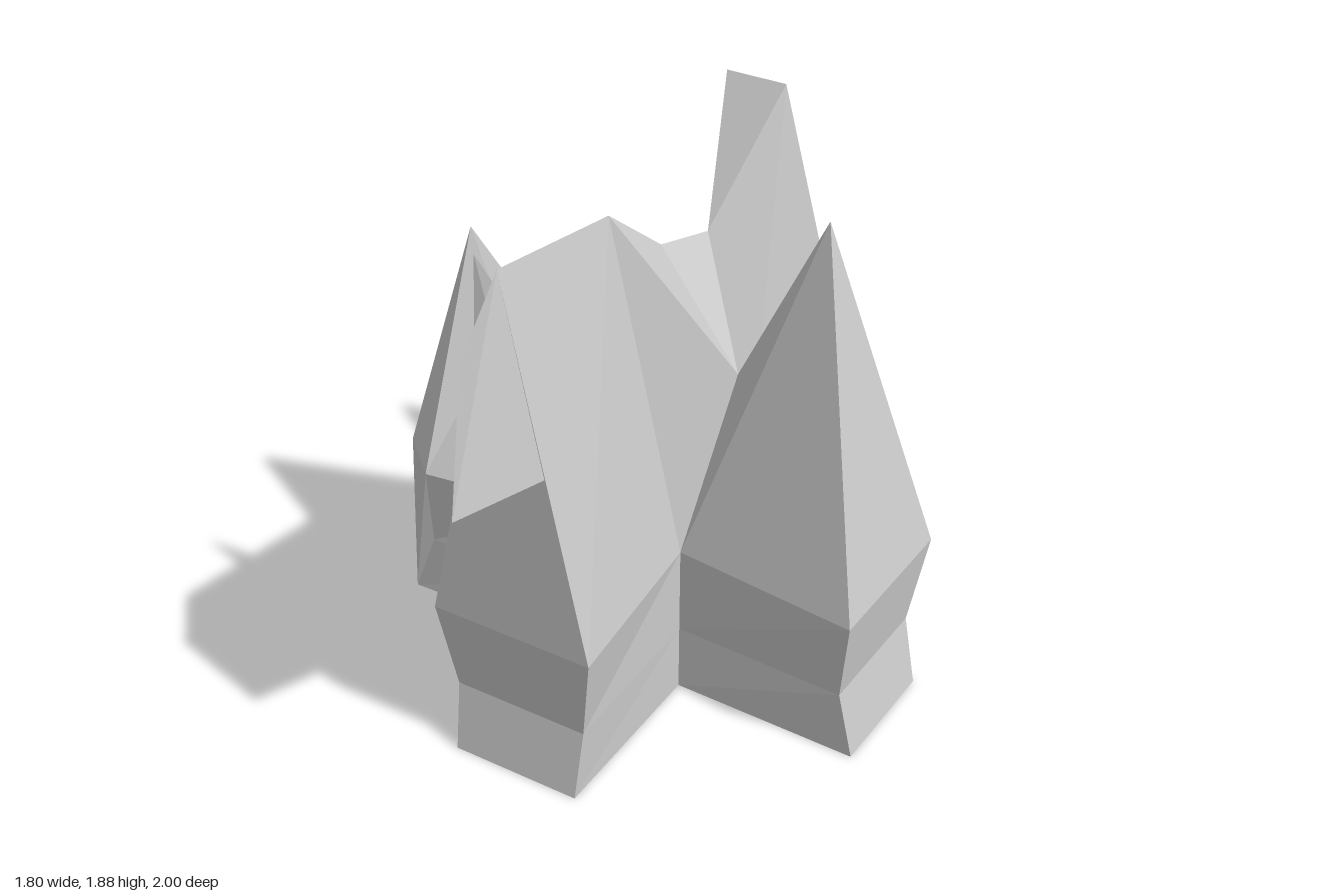
import * as THREE from 'three';

const material = new THREE.MeshStandardMaterial({ color: 0xcccccc, flatShading: true, side: THREE.DoubleSide });
const CX = 0.027, CZ = -0.13; // crossing of the four arms

// Mesh from flat polygons, each a list of corners counter-clockwise from outside
function facets(name, polygons) {
  const positions = [];
  for (const p of polygons)
    for (let i = 1; i < p.length - 1; i++) positions.push(...p[0], ...p[i], ...p[i + 1]);
  const geometry = new THREE.BufferGeometry();
  geometry.setAttribute('position', new THREE.Float32BufferAttribute(positions, 3));
  geometry.computeVertexNormals();
  const mesh = new THREE.Mesh(geometry, material);
  mesh.name = name;
  return mesh;
}

// Cross-shaped outline at height y: h = half width of arm ends, then the end of each arm
function crossRing(y, h, front, right, back, left) {
  const c = 0.213; // half width at the inner corners
  return [
    [CX - h, y, front], [CX + h, y, front], [CX + c, y, CZ + c],
    [right, y, CZ + h], [right, y, CZ - h], [CX + c, y, CZ - c],
    [CX + h, y, back], [CX - h, y, back], [CX - c, y, CZ - c],
    [left, y, CZ - h], [left, y, CZ + h], [CX - c, y, CZ + c],
  ];
}

export function createModel() {
  const model = new THREE.Group();
  model.name = 'crossBuilding';

  const base = crossRing(0, 0.228, 0.74, 0.9, -1.0, -0.845);
  const waist = crossRing(0.24, 0.238, 0.70, 0.85, -0.95, -0.75);
  const eave = crossRing(0.55, 0.287, 0.74, 0.895, -1.0, -0.732);

  // Walls: two bands around the cross, leaving the left end for its bay
  const walls = [];
  for (const [low, high] of [[base, waist], [waist, eave]])
    for (let i = 0; i < 12; i++) {
      if (i === 9) continue;
      const j = (i + 1) % 12;
      walls.push([low[i], low[j], high[j], high[i]]);
    }
  model.add(facets('walls', walls));

  // Roof points
  const center = [CX, 1.52, CZ];
  const frontTop = [CX, 1.83, 0.74], frontInner = [CX, 1.75, 0.17];
  const backInner = [CX, 1.44, -0.42];
  const backTopL = [-0.07, 1.88, -0.69], backTopR = [0.148, 1.88, -0.69];
  const rightTop = [0.61, 1.76, CZ], rightInner = [0.315, 1.14, CZ];
  const leftTop = [-0.71, 1.38, CZ], leftInner = [-0.58, 1.05, CZ];
  const e = eave;

  model.add(facets('frontRoof', [
    [e[0], e[1], frontTop],
    [e[1], e[2], frontInner, frontTop], [e[2], rightInner, frontInner],
    [e[11], e[0], frontTop, frontInner], [e[11], frontInner, leftInner],
  ]));
  model.add(facets('rightRoof', [
    [e[2], e[3], rightTop, rightInner], [e[3], e[4], rightTop],
    [e[4], e[5], rightInner, rightTop],
  ]));
  model.add(facets('backRoof', [
    [e[5], e[6], backTopR, backInner], [e[5], backInner, rightInner],
    [e[6], e[7], backTopL, backTopR],
    [e[7], e[8], backInner, backTopL], [e[8], leftInner, backInner],
    [backTopL, backInner, backTopR],
  ]));
  model.add(facets('leftRoof', [
    [e[8], e[9], leftTop, leftInner], [e[10], e[11], leftInner, leftTop],
  ]));
  model.add(facets('centerRoof', [
    [frontInner, rightInner, center], [rightInner, backInner, center],
    [backInner, leftInner, center], [leftInner, frontInner, center],
  ]));

  // Faceted bay closing the left end
  const bayBack = [-0.905, 0.55, -0.26], bayFront = [-0.905, 0.55, 0];
  model.add(facets('leftBay', [
    [e[9], bayBack, leftTop], [bayBack, bayFront, leftTop], [bayFront, e[10], leftTop],
    [e[9], waist[9], base[9], bayBack],
    [base[9], base[10], bayFront, bayBack],
    [base[10], waist[10], e[10], bayFront],
  ]));

  // Beak overhanging the front gable
  const beakL = [-0.115, 1.18, 0.74], beakR = [0.17, 1.18, 0.74];
  const beakTip = [CX, 1.13, 1.0], beakBrow = [CX, 1.62, 0.93];
  model.add(facets('frontBeak', [
    [beakL, beakTip, beakBrow, frontTop], [beakTip, beakR, frontTop, beakBrow],
    [beakL, beakR, beakTip],
  ]));

  // Pointed dormer on the slope of the front roof
  const tip = [-0.283, 1.65, 0.43];
  const foot = [[-0.055, 1.39, 0.43], [-0.18, 0.70, 0.28], [-0.21, 0.70, 0.58], [-0.1, 1.18, 0.5]];
  model.add(facets('dormer', foot.map((p, i) => [tip, p, foot[(i + 1) % 4]])));

  return model;
}
